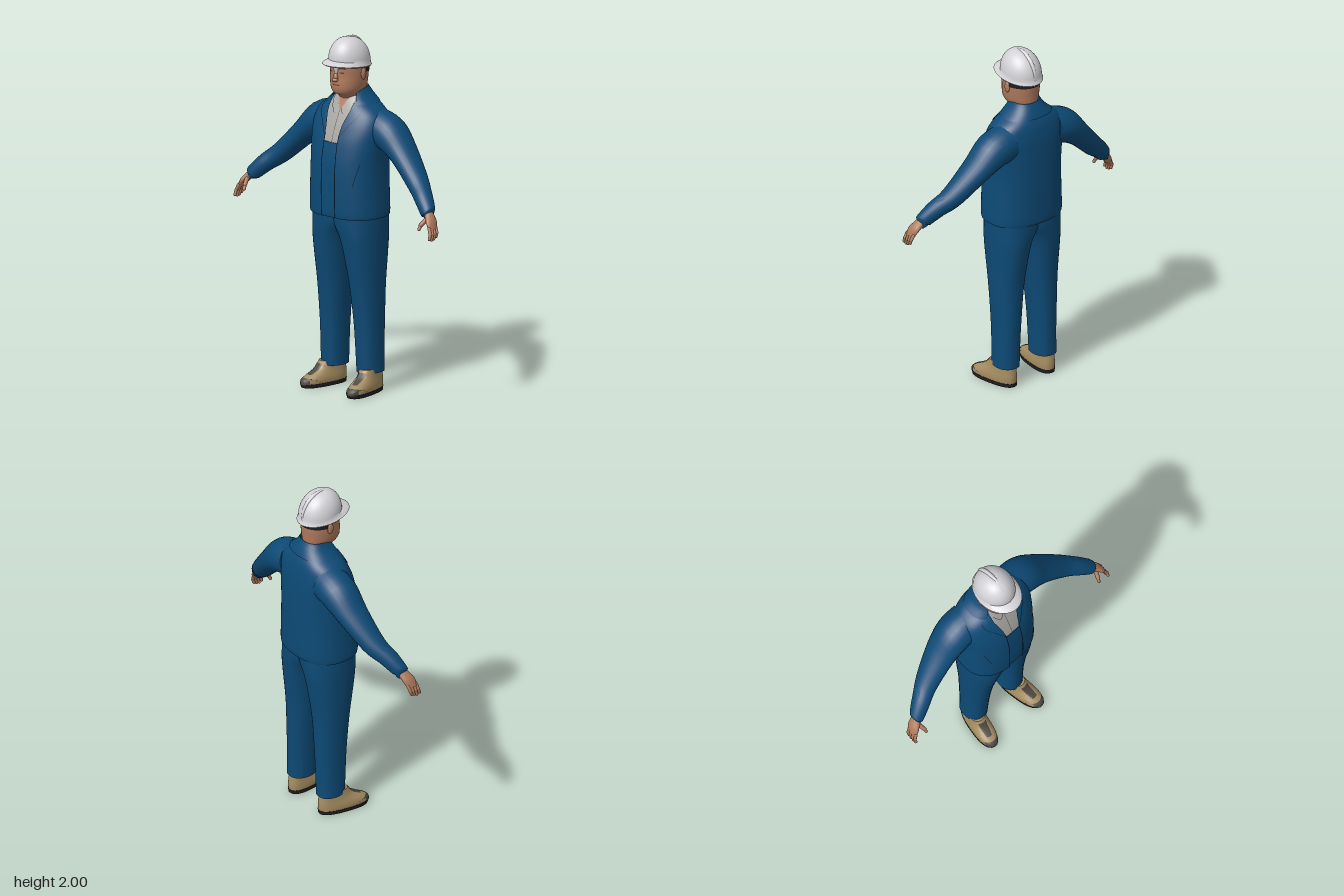
import * as THREE from 'three';
import { toCreasedNormals } from 'three/addons/utils/BufferGeometryUtils.js';

const mat = (name, color, side = THREE.FrontSide) =>
  Object.assign(new THREE.MeshStandardMaterial({ color, side }), { name });

// Catmull-Rom refinement of a short table of rows
function smooth(rows, k = 4) {
  const out = [];
  const at = (i) => rows[Math.min(Math.max(i, 0), rows.length - 1)];
  for (let i = 0; i < rows.length - 1; i++) {
    for (let s = 0; s < k; s++) {
      const t = s / k;
      out.push(rows[i].map((b, c) => {
        const a = at(i - 1)[c], d = at(i + 1)[c], e = at(i + 2)[c];
        return b + 0.5 * t * (d - a + t * (2 * a - 5 * b + 4 * d - e + t * (3 * (b - d) + e - a)));
      }));
    }
  }
  out.push(rows[rows.length - 1]);
  return out;
}

// Surface through rings of points; optional end caps
function skin(name, rings, material, { closed = true, caps = false, crease = 0.9 } = {}) {
  if (caps) {
    const mid = (r) => r.map(() => r.reduce((s, p) => s.add(p), new THREE.Vector3()).divideScalar(r.length));
    rings = [mid(rings[0]), ...rings, mid(rings[rings.length - 1])];
  }
  const n = rings[0].length, index = [];
  for (let i = 0; i < rings.length - 1; i++) {
    for (let j = 0; j < (closed ? n : n - 1); j++) {
      const a = i * n + j, b = i * n + (j + 1) % n;
      index.push(a, b, b + n, a, b + n, a + n);
    }
  }
  const g = new THREE.BufferGeometry().setFromPoints(rings.flat());
  g.setIndex(index);
  const mesh = new THREE.Mesh(toCreasedNormals(g, crease), material);
  mesh.name = name;
  return mesh;
}

const spow = (v, p) => Math.sign(v) * Math.abs(v) ** p;

// Horizontal superellipse; row = [y, halfWidth, zFront, zBack, centreX, frontGap]
function ring([y, rx, zf, zb, cx = 0, gap = 0], { n = 2, seg = 36, t0 = 0, tilt = 0 } = {}) {
  const start = gap > 0 ? Math.asin(Math.min(1, gap / rx) ** (n / 2)) : t0;
  const count = start > 0 ? seg + 1 : seg;
  return Array.from({ length: count }, (_, j) => {
    const t = start + (j / seg) * (2 * Math.PI - 2 * start);
    const z = (zf + zb) / 2 + ((zf - zb) / 2) * spow(Math.cos(t), 2 / n);
    return new THREE.Vector3(cx + rx * spow(Math.sin(t), 2 / n), y + tilt * z, z);
  });
}
const loft = (name, rows, material, o = {}) =>
  skin(name, rows.map((r) => ring(r, o)), material, { closed: !(rows[0][5] > 0 || o.t0 > 0), ...o });

// Thin plate lying on the front of a lofted body; rows = [y, x0, x1]
function patch(name, body, n, rows, off, material) {
  const rings = smooth(rows, 3).map(([y, x0, x1]) => {
    let i = 0;
    while (i < body.length - 2 && body[i + 1][0] < y) i++;
    const f = THREE.MathUtils.clamp((y - body[i][0]) / (body[i + 1][0] - body[i][0]), 0, 1);
    const [rx, zf, zb] = [1, 2, 3].map((c) => body[i][c] + f * (body[i + 1][c] - body[i][c]));
    return Array.from({ length: 7 }, (_, j) => {
      const x = x0 + ((x1 - x0) * j) / 6;
      const h = Math.max(0, 1 - Math.abs(x / rx) ** n) ** (1 / n);
      return new THREE.Vector3(x, y, (zf + zb) / 2 + ((zf - zb) / 2) * h + off);
    });
  });
  return skin(name, rings, material, { closed: false });
}

// Limb from tip to root; rows = [x, y, z, radiusInPlane, radiusInDepth]
function limb(name, rows, material, seg = 24) {
  const rings = rows.map(([x, y, z, ru, rv], i) => {
    const a = rows[Math.max(i - 1, 0)], b = rows[Math.min(i + 1, rows.length - 1)];
    const d = new THREE.Vector2(b[0] - a[0], b[1] - a[1]).normalize();
    return Array.from({ length: seg }, (_, j) => {
      const t = (j / seg) * 2 * Math.PI, s = ru * Math.sin(t);
      return new THREE.Vector3(x + d.y * s, y - d.x * s, z + rv * Math.cos(t));
    });
  });
  return skin(name, rings, material, { caps: true });
}

function bone(name, a, b, r, material) {
  const p = new THREE.Vector3(...a), q = new THREE.Vector3(...b), d = q.clone().sub(p);
  const m = new THREE.Mesh(new THREE.CapsuleGeometry(r, d.length(), 4, 10), material);
  m.position.copy(p).add(q).multiplyScalar(0.5);
  m.quaternion.setFromUnitVectors(new THREE.Vector3(0, 1, 0), d.normalize());
  m.name = name;
  return m;
}

function ball(name, [x, y, z], [sx, sy, sz], material) {
  const m = new THREE.Mesh(new THREE.SphereGeometry(1, 28, 18), material);
  m.position.set(x, y, z);
  m.scale.set(sx, sy, sz);
  m.name = name;
  return m;
}

export function createModel() {
  const D = THREE.DoubleSide;
  const blue = mat('workwear blue', 0x0d4a76, D), navy = mat('seam navy', 0x08283f, D);
  const flesh = mat('skin', 0xb07b5e, D), white = mat('helmet white', 0xd2d2d6, D);
  const grey = mat('shirt grey', 0xa8a6a2, D), tan = mat('shoe tan', 0xa58c60, D);
  const black = mat('rubber black', 0x201f1f, D), cap = mat('toe cap grey', 0x4c4842, D);
  const brown = mat('face brown', 0x6a4334, D);
  const man = new THREE.Group();
  man.name = 'worker';

  // Jacket, open down the front
  const jacket = smooth([
    [1.0, 0.228, 0.168, -0.186, 0, 0.05], [1.03, 0.23, 0.172, -0.19, 0, 0.05],
    [1.15, 0.225, 0.175, -0.191, 0, 0.05], [1.3, 0.222, 0.171, -0.19, 0, 0.05],
    [1.42, 0.23, 0.152, -0.187, 0, 0.05], [1.5, 0.235, 0.126, -0.182, 0, 0.056],
    [1.56, 0.222, 0.1, -0.173, 0, 0.072], [1.6, 0.19, 0.08, -0.163, 0, 0.08],
    [1.64, 0.13, 0.06, -0.146, 0, 0.08], [1.67, 0.095, 0.046, -0.13, 0, 0.072],
    [1.7, 0.078, 0.035, -0.113, 0, 0.062]]);
  const N = 2.4;
  man.add(loft('jacket', [[1.004, 0.212, 0.155, -0.172, 0, 0.05], ...jacket], blue, { n: N, seg: 56 }));
  man.add(loft('jacketCollar', smooth([
    [1.632, 0.15, 0.068, -0.158, 0, 0.1], [1.67, 0.108, 0.056, -0.141, 0, 0.082],
    [1.702, 0.086, 0.042, -0.122, 0, 0.068], [1.712, 0.08, 0.036, -0.114, 0, 0.064],
    [1.68, 0.076, 0.034, -0.11, 0, 0.064]]), blue, { n: N, seg: 40 }));

  // Shirt and bib under the jacket
  const inner = jacket.map(([y, rx, zf, zb]) => [y, rx * 0.95, zf - 0.012, zb + 0.012]);
  man.add(loft('shirt', inner.filter((r) => r[0] > 1.35 && r[0] < 1.69), grey, { n: N }));
  man.add(loft('overallBib', inner.filter((r) => r[0] < 1.421)
    .map(([y, rx, zf, zb]) => [y, rx + 0.002, zf + 0.004, zb - 0.004]), blue, { n: N, caps: true }));
  man.add(patch('openNeck', inner, N, [[1.59, -0.001, 0.001], [1.63, -0.02, 0.02], [1.68, -0.045, 0.045]], 0.003, flesh));
  man.add(patch('shirtPlacket', inner, N, [[1.42, -0.002, 0.001], [1.59, -0.002, 0.001]], 0.003, cap));

  // Head and neck
  const head = smooth([
    [1.6, 0.08, 0.03, -0.1], [1.655, 0.069, 0.045, -0.1], [1.675, 0.07, 0.07, -0.103],
    [1.69, 0.076, 0.098, -0.106], [1.715, 0.088, 0.109, -0.11], [1.75, 0.095, 0.11, -0.112],
    [1.79, 0.099, 0.107, -0.115], [1.84, 0.101, 0.108, -0.117], [1.88, 0.098, 0.1, -0.115]]);
  man.add(loft('head', head, flesh, { n: 2.1, caps: true }));
  man.add(ball('nose', [0, 1.782, 0.108], [0.015, 0.026, 0.014], flesh));
  man.add(ball('noseTip', [0, 1.77, 0.114], [0.019, 0.012, 0.016], flesh));
  man.add(patch('mouth', head, 2.1, [[1.738, -0.02, 0.02], [1.742, -0.03, 0.03], [1.745, -0.022, 0.022]], 0.002, brown));

  // Helmet
  const dome = [];
  for (let i = 0; i <= 14; i++) {
    const a = (i / 14) * Math.PI * 0.497, c = Math.cos(a) ** 0.92;
    dome.push([1.865 + 0.131 * Math.sin(a), 0.107 * c, -0.004 + 0.127 * c, -0.004 - 0.127 * c]);
  }
  man.add(loft('helmetShell', [
    [1.838, 0.112, 0.166, -0.138], [1.844, 0.118, 0.176, -0.142],
    [1.852, 0.113, 0.166, -0.138], ...dome], white, { tilt: 0.1, seg: 48 }));
  const ridge = ball('helmetRidge', [0, 1.865, -0.004], [0.034, 0.136, 0.13], white);
  ridge.rotation.x = -0.1;
  man.add(ridge);
  man.add(loft('helmetLining', [[1.838, 0.113, 0.166, -0.138], [1.856, 0.09, 0.09, -0.1]], black, { tilt: 0.1 }));
  man.add(loft('helmetStrap', [[1.806, 0.103, 0.113, -0.121], [1.85, 0.106, 0.115, -0.125]], black, { t0: 1.75 }));

  // Everything paired, built on the left and mirrored
  const side = (name) => {
    const s = new THREE.Group();
    s.name = name;

    // Jacket front details
    s.add(patch('lapel', jacket, N, [[1.46, 0.05, 0.054], [1.52, 0.057, 0.092], [1.575, 0.072, 0.132],
      [1.605, 0.08, 0.138], [1.64, 0.08, 0.112]], 0.006, blue));
    s.add(patch('lapelSeam', jacket, N, [[1.46, 0.05, 0.058], [1.52, 0.06, 0.096], [1.575, 0.075, 0.137],
      [1.608, 0.08, 0.142]], 0.003, navy));
    s.add(patch('frontEdge', jacket, N, [[1.005, 0.047, 0.052], [1.25, 0.047, 0.052], [1.47, 0.047, 0.052]], 0.002, navy));
    s.add(patch('pocketSlit', jacket, N, [[1.19, 0.15, 0.154], [1.32, 0.18, 0.184]], 0.003, navy));
    s.add(patch('shirtCollar', inner, N, [[1.575, 0.03, 0.034], [1.6, 0.01, 0.055], [1.64, 0.028, 0.075],
      [1.675, 0.046, 0.078]], 0.007, grey));

    // Face
    s.add(patch('eye', head, 2.1, [[1.809, 0.03, 0.048], [1.813, 0.025, 0.053], [1.817, 0.031, 0.047]], 0.002, brown));
    s.add(patch('brow', head, 2.1, [[1.833, 0.02, 0.06], [1.84, 0.022, 0.058]], 0.002, brown));
    s.add(ball('ear', [0.101, 1.8, -0.008], [0.01, 0.033, 0.019], flesh));

    // Sleeve and hand
    s.add(limb('sleeve', smooth([
      [0.645, 1.12, 0.065, 0.036, 0.036], [0.641, 1.125, 0.062, 0.044, 0.045],
      [0.58, 1.185, 0.03, 0.051, 0.058], [0.5, 1.25, -0.012, 0.058, 0.07],
      [0.36, 1.385, -0.05, 0.071, 0.093], [0.25, 1.473, -0.06, 0.099, 0.108],
      [0.15, 1.5, -0.06, 0.108, 0.105]]), blue));
    s.add(limb('palm', smooth([
      [0.708, 1.038, 0.098, 0.011, 0.032], [0.69, 1.075, 0.088, 0.017, 0.039],
      [0.668, 1.1, 0.078, 0.021, 0.034], [0.635, 1.13, 0.062, 0.028, 0.028]]), flesh, 16));
    for (let i = 0; i < 4; i++) {
      const z = 0.07 + i * 0.018, drop = [0.012, 0.003, 0, 0.006][i];
      const knuckle = [0.718, 1.015 + drop / 2, z + 0.006];
      s.add(bone('finger', [0.704, 1.05, z], knuckle, 0.0095, flesh));
      s.add(bone('fingertip', knuckle, [0.718, 0.988 + drop, z + 0.014], 0.0085, flesh));
    }
    s.add(bone('thumb', [0.664, 1.095, 0.095], [0.65, 1.063, 0.132], 0.012, flesh));
    s.add(bone('thumbTip', [0.65, 1.063, 0.132], [0.646, 1.04, 0.143], 0.0095, flesh));

    // Trouser leg: [y, innerX, outerX, zFront, zBack]
    const leg = smooth([
      [0.112, 0.064, 0.199, 0.05, -0.113], [0.25, 0.06, 0.197, 0.057, -0.115],
      [0.4, 0.052, 0.199, 0.066, -0.12], [0.6, 0.034, 0.205, 0.087, -0.128],
      [0.78, 0.01, 0.211, 0.118, -0.15], [0.88, -0.015, 0.214, 0.134, -0.163],
      [0.96, -0.06, 0.215, 0.143, -0.17], [1.05, -0.07, 0.214, 0.146, -0.172]])
      .map(([y, a, b, zf, zb]) => [y, (b - a) / 2, zf, zb, (a + b) / 2]);
    s.add(loft('trouserLeg', leg, blue, { n: 2.3, caps: true }));

    // Shoe, toes turned outwards
    const shoe = new THREE.Group();
    shoe.name = 'shoe';
    const sole = { n: 2.5, caps: true };
    shoe.add(loft('sole', [[0, 0.056, 0.145, -0.15], [0.022, 0.058, 0.153, -0.153]], black, sole));
    const upper = smooth([
      [0.02, 0.056, 0.151, -0.151], [0.04, 0.057, 0.147, -0.152], [0.058, 0.055, 0.122, -0.152],
      [0.078, 0.051, 0.08, -0.15], [0.1, 0.048, 0.045, -0.147], [0.135, 0.046, 0.02, -0.143]]);
    shoe.add(loft('shoeUpper', upper, tan, sole));
    shoe.add(patch('toeCap', upper, 2.5, [[0.018, -0.055, 0.055], [0.04, -0.052, 0.052], [0.054, -0.03, 0.03]], 0.004, cap));
    shoe.add(patch('laces', upper, 2.5, [[0.068, -0.016, 0.016], [0.09, -0.022, 0.022], [0.122, -0.024, 0.024]], 0.004, cap));
    shoe.position.set(0.153, 0, 0.04);
    shoe.rotation.y = 0.16;
    s.add(shoe);
    return s;
  };
  const right = side('rightSide');
  right.scale.x = -1;
  man.add(side('leftSide'), right);
  return man;
}
